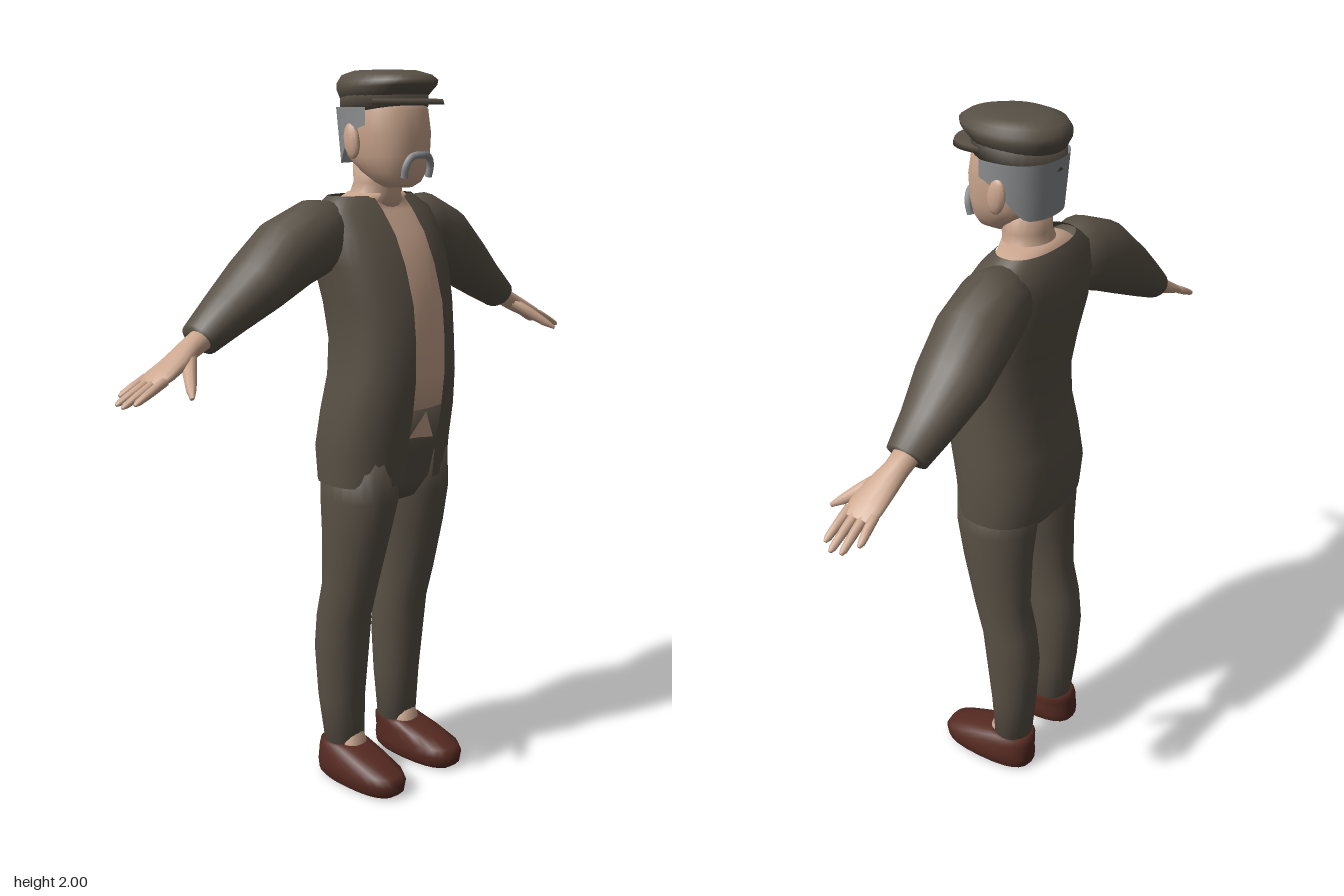
import * as THREE from 'three';

const mat = (name, color, side = THREE.FrontSide) => {
  const m = new THREE.MeshStandardMaterial({ color, side });
  m.name = name;
  return m;
};

// Joins rows of points into a smooth skin, optionally wrapped and capped.
function skin(rows, wrap, caps) {
  const n = rows[0].length, pos = [], idx = [];
  rows.forEach(r => r.forEach(p => pos.push(p.x, p.y, p.z)));
  for (let i = 0; i < rows.length - 1; i++) {
    for (let j = 0; j < (wrap ? n : n - 1); j++) {
      const k = (j + 1) % n, a = i * n + j, b = i * n + k;
      idx.push(a, b, b + n, a, b + n, a + n);
    }
  }
  if (caps) [0, rows.length - 1].forEach(i => {
    const c = new THREE.Vector3();
    rows[i].forEach(p => c.addScaledVector(p, 1 / n));
    const m = pos.length / 3;
    pos.push(c.x, c.y, c.z);
    for (let j = 0; j < n; j++) {
      const a = i * n + j, b = i * n + (j + 1) % n;
      if (i) idx.push(a, b, m); else idx.push(b, a, m);
    }
  });
  const g = new THREE.BufferGeometry();
  g.setAttribute('position', new THREE.Float32BufferAttribute(pos, 3));
  g.setIndex(idx);
  g.computeVertexNormals();
  return g;
}

const pw = (v, p) => Math.sign(v) * Math.abs(v) ** p;

// Upright loft. Ring: [y, centre x, half width, front z, back z, tilt]; gap leaves a front opening.
function tower(rings, { n = 24, p = 0.85, gap = 0 } = {}) {
  const rows = rings.map(([y, cx, rx, zf, zb, tilt = 0]) => {
    const t0 = gap ? Math.asin((gap / rx) ** (1 / p)) : 0;
    return Array.from({ length: n }, (_, j) => {
      const t = t0 + (2 * Math.PI - 2 * t0) * j / (gap ? n - 1 : n);
      const z = (zf + zb) / 2 + (zf - zb) / 2 * pw(Math.cos(t), p);
      return new THREE.Vector3(cx + rx * pw(Math.sin(t), p), y + tilt * z, z);
    });
  });
  return skin(rows, !gap, !gap);
}

// Limb loft along a path. Ring: [x, y, z, half height, half depth].
function limb(rings, n = 14) {
  const c = rings.map(r => new THREE.Vector3(r[0], r[1], r[2]));
  return skin(rings.map((r, i) => {
    const d = c[Math.min(i + 1, c.length - 1)].clone().sub(c[Math.max(i - 1, 0)]).normalize();
    const v = new THREE.Vector3(0, 0, 1).addScaledVector(d, -d.z).normalize();
    const u = d.clone().cross(v);
    return Array.from({ length: n }, (_, j) => {
      const t = 2 * Math.PI * j / n;
      return c[i].clone().addScaledVector(u, r[3] * Math.sin(t)).addScaledVector(v, r[4] * Math.cos(t));
    });
  }), true, true);
}

function mirror(geo) {
  const g = geo.clone().scale(-1, 1, 1), a = g.index.array;
  for (let i = 0; i < a.length; i += 3) [a[i], a[i + 1]] = [a[i + 1], a[i]];
  g.computeVertexNormals();
  return g;
}

export function createModel() {
  const root = new THREE.Group();
  root.name = 'man';
  const cloth = mat('brown cloth', 0x585045, THREE.DoubleSide);
  const flesh = mat('skin', 0xcba68e, THREE.DoubleSide);
  const leather = mat('shoe leather', 0x552a21);
  const grey = mat('grey hair', 0x8c8e8f, THREE.DoubleSide);
  const add = (name, geo, m) => {
    const mesh = new THREE.Mesh(geo, m);
    mesh.name = name;
    root.add(mesh);
  };
  const pair = (name, geo, m) => {
    add('left' + name, geo, m);
    add('right' + name, mirror(geo), m);
  };

  // Open jacket; torso and trouser top follow the same shape, set inwards
  const coat = [
    [0.905, 0, 0.205, 0.13, -0.145], [1.0, 0, 0.207, 0.14, -0.156], [1.1, 0, 0.2, 0.16, -0.142],
    [1.2, 0, 0.188, 0.172, -0.122], [1.3, 0, 0.18, 0.172, -0.122], [1.4, 0, 0.185, 0.162, -0.14],
    [1.5, 0, 0.2, 0.132, -0.16], [1.58, 0, 0.205, 0.095, -0.163], [1.64, 0, 0.195, 0.05, -0.15],
    [1.678, 0, 0.14, 0.015, -0.125]];
  const inset = (r, d) => [r[0], 0, r[2] - d, r[3] - d, r[4] + d];
  add('jacket', tower(coat, { n: 40, gap: 0.057 }), cloth);
  add('torso', tower([...coat.slice(2, 9).map(r => inset(r, 0.017)),
    [1.665, 0, 0.125, 0.022, -0.108], [1.685, 0, 0.078, 0.028, -0.1]], { n: 40 }), flesh);
  add('trouserTop', tower([[0.85, 0, 0.1, 0.085, -0.1], inset(coat[0], 0.018), inset(coat[1], 0.014),
    [1.11, 0, 0.188, 0.15, -0.13]], { n: 40 }), cloth);

  // Skin showing at the open waistband
  const patch = new THREE.Shape();
  patch.moveTo(0, 1.105);
  patch.lineTo(-0.05, 1.035);
  patch.lineTo(0, 1.03);
  patch.lineTo(0.052, 1.022);
  const patchGeo = new THREE.ShapeGeometry(patch);
  const pp = patchGeo.attributes.position;
  for (let i = 0; i < pp.count; i++) pp.setZ(i, 0.133 + (pp.getY(i) - 1.02) * 0.25);
  patchGeo.computeVertexNormals();
  add('waistPatch', patchGeo, flesh);

  // Legs, ankles and shoes
  pair('TrouserLeg', tower([
    [0.11, 0.112, 0.058, 0, -0.115], [0.25, 0.116, 0.07, 0.003, -0.13], [0.4, 0.117, 0.077, 0.02, -0.14],
    [0.5, 0.118, 0.076, 0.032, -0.13], [0.6, 0.118, 0.075, 0.06, -0.108], [0.75, 0.112, 0.086, 0.098, -0.11],
    [0.86, 0.104, 0.099, 0.12, -0.118], [0.98, 0.1, 0.095, 0.12, -0.12]], { p: 1 }), cloth);
  pair('Ankle', tower([[0.08, 0.112, 0.05, 0.018, -0.09], [0.115, 0.112, 0.044, 0.012, -0.09],
    [0.165, 0.112, 0.03, -0.012, -0.09]]), flesh);
  pair('Shoe', tower([
    [0, 0.122, 0.058, 0.155, -0.12], [0.012, 0.122, 0.069, 0.171, -0.13], [0.04, 0.122, 0.073, 0.176, -0.132],
    [0.062, 0.122, 0.07, 0.163, -0.13], [0.085, 0.119, 0.064, 0.1, -0.13], [0.105, 0.115, 0.058, 0.025, -0.126],
    [0.112, 0.113, 0.05, 0.0, -0.115]], { p: 0.8 }), leather);

  // Sleeves
  pair('Sleeve', limb([
    [0.11, 1.585, -0.055, 0.08, 0.07], [0.2, 1.575, -0.06, 0.1, 0.095], [0.3, 1.535, -0.07, 0.098, 0.102],
    [0.4, 1.467, -0.077, 0.079, 0.1], [0.5, 1.402, -0.08, 0.061, 0.076], [0.585, 1.348, -0.078, 0.046, 0.057],
    [0.583, 1.349, -0.078, 0.033, 0.04]].slice(0, 6), 20), cloth);

  // Hands with four fingers and a thumb
  pair('Hand', limb([
    [0.56, 1.36, -0.075, 0.03, 0.035], [0.62, 1.33, -0.073, 0.026, 0.033], [0.67, 1.303, -0.065, 0.023, 0.043],
    [0.72, 1.279, -0.062, 0.018, 0.049], [0.755, 1.262, -0.062, 0.011, 0.045]]), flesh);
  [[0.808, 1.235, -0.108], [0.838, 1.222, -0.08], [0.842, 1.22, -0.051], [0.826, 1.228, -0.024]].forEach(([x, y, z], i) => {
    const z0 = -0.097 + i * 0.024;
    pair('Finger' + (i + 1), limb([
      [0.735, 1.272, z0, 0.012, 0.013], [(0.735 + x) / 2, (1.272 + y) / 2, (z0 + z) / 2, 0.011, 0.012],
      [x - 0.01, y + 0.005, z, 0.008, 0.01], [x, y, z, 0.004, 0.005]], 8), flesh);
  });
  pair('Thumb', limb([[0.635, 1.315, -0.055, 0.016, 0.02], [0.67, 1.283, -0.012, 0.016, 0.019],
    [0.697, 1.255, 0.026, 0.012, 0.014], [0.715, 1.238, 0.052, 0.005, 0.006]], 8), flesh);

  // Neck, head and ears
  add('neck', tower([[1.64, 0, 0.1, 0.03, -0.11], [1.68, 0, 0.077, 0.032, -0.1], [1.71, 0, 0.068, 0.036, -0.09],
    [1.78, 0, 0.07, 0.04, -0.09]], { p: 1 }), flesh);
  add('head', tower([
    [1.7, 0, 0.035, 0.085, 0.01], [1.713, 0, 0.06, 0.103, -0.01], [1.74, 0, 0.083, 0.115, -0.05],
    [1.78, 0, 0.099, 0.122, -0.095], [1.84, 0, 0.106, 0.123, -0.11], [1.9, 0, 0.105, 0.112, -0.112],
    [1.93, 0, 0.095, 0.09, -0.1]]), flesh);
  const ear = new THREE.SphereGeometry(1, 12, 8).scale(0.014, 0.047, 0.026).rotateX(-0.15).translate(0.113, 1.82, -0.012);
  pair('Ear', ear, flesh);

  // Hair wraps the back of the head, deepest at the nape
  const hairRow = f => Array.from({ length: 25 }, (_, j) => {
    const a = -1.85 + 3.7 * j / 24, b = THREE.MathUtils.smoothstep(Math.cos(a), -0.28, 0.75);
    const low = 1.86 - 0.1 * b, out = 1 - 0.1 * (1 - f) * b;
    return new THREE.Vector3(-0.119 * out * pw(Math.sin(a), 0.85), low + (1.905 - low) * f,
      -0.003 - 0.122 * out * pw(Math.cos(a), 0.85));
  });
  add('hair', skin([0, 0.35, 0.7, 1].map(hairRow), false, false), grey);

  // Drooping moustache
  const half = [[0.047, 1.727, 0.113], [0.047, 1.757, 0.12], [0.032, 1.78, 0.126]];
  const path = [...half.map(([x, y, z]) => [-x, y, z]), [0, 1.785, 0.133], ...half.reverse()];
  add('moustache', new THREE.TubeGeometry(
    new THREE.CatmullRomCurve3(path.map(q => new THREE.Vector3(...q))), 24, 0.0095, 8), grey);

  // Peaked cap
  add('capBand', tower([[1.893, 0, 0.11, 0.116, -0.123, 0.16], [1.945, 0, 0.108, 0.12, -0.124, 0.08]], { n: 32, p: 0.95 }), cloth);
  add('capCrown', tower([[1.925, 0, 0.106, 0.115, -0.12, 0.08], [1.955, 0, 0.113, 0.15, -0.139, 0.05],
    [1.97, 0, 0.112, 0.154, -0.14, 0.03], [1.987, 0, 0.101, 0.135, -0.125], [1.998, 0, 0.075, 0.09, -0.085],
    [2.0, 0, 0.03, 0.04, -0.04]], { n: 32, p: 0.95 }), cloth);
  add('capPeak', tower([[1.912, 0, 0.103, 0.165, -0.02], [1.926, 0, 0.101, 0.16, -0.02]], { n: 32 }), cloth);
  return root;
}
